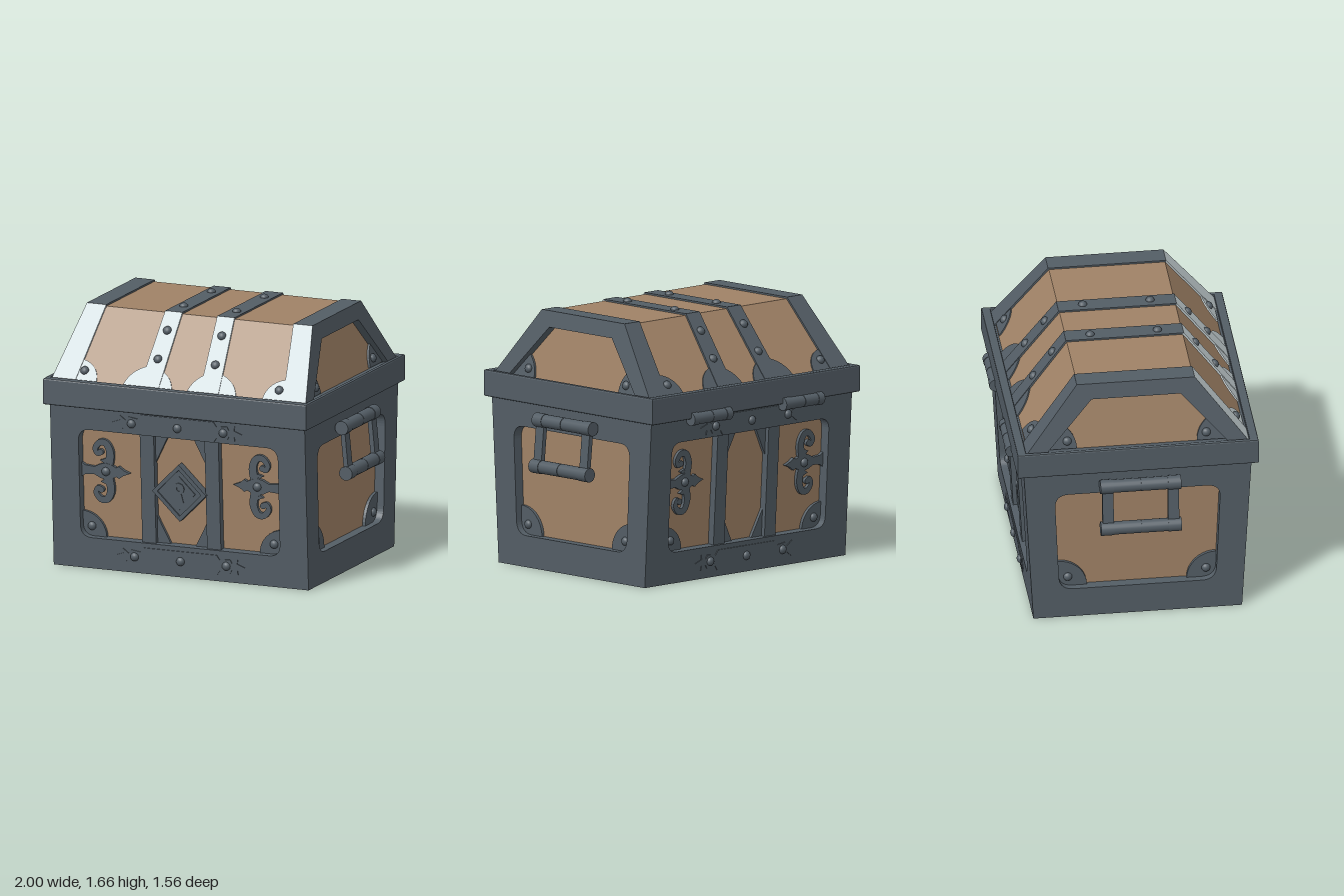
import * as THREE from 'three';

const mat = (name, color) => Object.assign(new THREE.MeshStandardMaterial({ color }), { name });
const metal = mat('dark iron', 0x535d65);
const wood = mat('wood', 0xa08266);
const pale = mat('pale steel', 0xc4d0d3);

const V = (x, y) => new THREE.Vector2(x, y);
const poly = (pts) => new THREE.Shape(pts.map(([x, y]) => V(x, y)));
const rect = (x0, x1, y0, y1) => poly([[x0, y0], [x1, y0], [x1, y1], [x0, y1]]);
const lerp = THREE.MathUtils.lerp;

function add(parent, name, geometry, material, x = 0, y = 0, z = 0) {
  const mesh = new THREE.Mesh(geometry, material);
  mesh.name = name;
  mesh.position.set(x, y, z);
  parent.add(mesh);
  return mesh;
}

// Flat plate in a face's own plane; its outer surface lies at z = top
function plate(parent, name, shape, top, depth, material = metal) {
  const g = new THREE.ExtrudeGeometry(shape, { depth, bevelEnabled: false, curveSegments: 10 });
  return add(parent, name, g.translate(0, 0, top - depth), material);
}

function rivet(parent, x, y, z) {
  const g = new THREE.SphereGeometry(0.028, 14, 10).scale(1, 1, 0.8);
  add(parent, 'rivet', g, metal, x, y, z);
}

// Polygon with rounded corners
function rounded(pts, r) {
  const s = new THREE.Shape(), n = pts.length;
  pts.forEach(([x, y], i) => {
    const c = V(x, y);
    const toward = ([a, b]) => V(a, b).sub(c).setLength(r).add(c);
    const p = toward(pts[(i + n - 1) % n]), q = toward(pts[(i + 1) % n]);
    if (i) s.lineTo(p.x, p.y); else s.moveTo(p.x, p.y);
    s.quadraticCurveTo(x, y, q.x, q.y);
  });
  s.closePath();
  return s;
}

const disc = (x, y, r) => new THREE.Shape().absarc(x, y, r, 0, Math.PI * 2, false);

// Pie-shaped corner piece opening away from side s
function corner(s, x, y, r, angle) {
  const pts = [[x, y]];
  for (let i = 0; i <= 10; i++) {
    const a = angle * i / 10;
    pts.push([x - s * r * Math.cos(a), y + r * Math.sin(a)]);
  }
  return poly(pts);
}

// Tapering flat ribbon along a curve
function ribbon(pts, w0, w1) {
  const curve = new THREE.SplineCurve(pts.map(([x, y]) => V(x, y)));
  const left = [], right = [];
  for (let i = 0; i <= 28; i++) {
    const t = i / 28, p = curve.getPoint(t), d = curve.getTangent(t), w = lerp(w0, w1, t) / 2;
    left.push(V(p.x - d.y * w, p.y + d.x * w));
    right.unshift(V(p.x + d.y * w, p.y - d.x * w));
  }
  return new THREE.Shape([...left, ...right]);
}

// Box whose top and bottom rectangles differ
function frustum(hx0, hz0, hx1, hz1, y0, y1) {
  const g = new THREE.BoxGeometry(2, 2, 2), p = g.attributes.position;
  for (let i = 0; i < p.count; i++) {
    const up = p.getY(i) > 0;
    p.setXYZ(i, p.getX(i) * (up ? hx1 : hx0), up ? y1 : y0, p.getZ(i) * (up ? hz1 : hz0));
  }
  g.computeVertexNormals();
  return g;
}

// Group lying in one face of the chest: x across, y up the face, z outward
function face(parent, name, y, dist, tilt, turn) {
  const outer = new THREE.Group(), inner = new THREE.Group();
  outer.name = name;
  outer.rotation.y = turn;
  inner.position.set(0, y, dist);
  inner.rotation.x = tilt;
  outer.add(inner);
  parent.add(outer);
  return inner;
}

// Rod along x: collars at the ends, two slimmer sleeves between
function rod(parent, name, half, collar, r, y, z) {
  const piece = (x0, x1, rad) => add(parent, name,
    new THREE.CylinderGeometry(rad, rad, x1 - x0, 20).rotateZ(Math.PI / 2), metal, (x0 + x1) / 2, y, z);
  for (const s of [-1, 1]) {
    const span = (a, b, rad) => piece(Math.min(s * a, s * b), Math.max(s * a, s * b), rad);
    span(half - collar, half, r);
    span(0.002, half - collar, r * 0.93);
  }
  piece(-0.003, 0.003, r * 0.86);
}

// Front and back of the body
function broadSide(parent, turn, withLock) {
  const f = face(parent, withLock ? 'front' : 'back', 0, 0.66, Math.atan(0.06 / 1.05), turn);
  const frame = rect(-0.875, 0.875, 0, 1.052);
  frame.holes.push(rounded([[-0.685, 0.2], [0.685, 0.2], [0.685, 0.905], [-0.685, 0.905]], 0.08));
  plate(f, 'bodyFrame', frame, 0, 0.075);

  // Long riveted plates with barbed tips
  const tip = [[0.25, 0.065], [0.27, 0.035], [0.34, 0.045], [0.355, 0.02], [0.395, 0.05], [0.39, 0.02]];
  for (const y of [0.105, 0.975]) {
    const q = [...tip, [0.445, 0], ...[...tip].reverse().map(([a, b]) => [a, -b])];
    const bar = poly([...q, ...q.map(([a, b]) => [-a, -b])].map(([a, b]) => [a, b + y]));
    plate(f, 'barbedPlate', bar, 0.006, 0.015);
    for (const x of [-0.315, 0, 0.315]) rivet(f, x, y, 0.006);
  }

  for (const s of [-1, 1]) {
    plate(f, 'uprightStrip', rect(...(s > 0 ? [0.175, 0.27] : [-0.27, -0.175]), 0.19, 0.915), -0.018, 0.055);
    plate(f, 'cornerBracket', corner(s, s * 0.69, 0.195, 0.165, Math.PI / 2), -0.045, 0.025);
    rivet(f, s * 0.625, 0.265, -0.045);
    for (const [y0, y1] of [[0.195, 0.385], [0.91, 0.715]])
      plate(f, 'innerBracket', poly([[s * 0.18, y0], [s * 0.083, y0], [s * 0.18, y1]]), -0.045, 0.025);

    // Scrolled ornament
    const c = 0.63;
    const arm = [[0.7, 0.055], [0.66, 0.03], [0.6, 0.025], [0.56, 0.045], [0.52, 0.055], [0.48, 0.045], [0.45, 0.03], [0.43, 0.04], [0.4, 0.018]];
    plate(f, 'ornamentArm', poly([...arm, [0.355, 0], ...[...arm].reverse().map(([a, b]) => [a, -b])]
      .map(([a, b]) => [s * a, c + b])), -0.042, 0.025);
    const curl = [[0.52, 0], [0.498, 0.06], [0.49, 0.125], [0.515, 0.18], [0.56, 0.185], [0.592, 0.145], [0.578, 0.11], [0.555, 0.118]];
    for (const v of [-1, 1]) {
      plate(f, 'ornamentCurl', ribbon(curl.map(([a, b]) => [s * a, c + v * b]), 0.062, 0.024), -0.044, 0.023);
      plate(f, 'curlSpur', poly([[s * 0.505, c + v * 0.09], [s * 0.56, c + v * 0.07], [s * 0.5, c + v * 0.03]]), -0.045, 0.022);
      plate(f, 'curlEnd', disc(s * 0.556, c + v * 0.122, 0.02), -0.043, 0.024);
    }
    rivet(f, s * 0.52, c, -0.042);
  }

  // Stepped diamond lock with a keyhole
  if (withLock) {
    const diamond = (r) => poly([[r, 0.55], [0, 0.55 + r], [-r, 0.55], [0, 0.55 - r]]);
    [[0.186, 0.15, 0.002], [0.151, 0.108, -0.008], [0.109, 0, -0.001]].forEach(([r, hole, top]) => {
      const d = diamond(r);
      if (hole) d.holes.push(diamond(hole));
      plate(f, 'lockPlate', d, top, top + 0.055);
    });
    const ring = disc(0, 0.58, 0.036);
    ring.holes.push(disc(0, 0.58, 0.016));
    plate(f, 'keyhole', ring, 0.006, 0.012);
    plate(f, 'keyhole', poly([[-0.014, 0.553], [0.014, 0.553], [0.03, 0.49], [-0.03, 0.49]]), 0.005, 0.01);
  }
}

// Left and right of the body with a hanging handle
function narrowSide(parent, side) {
  const f = face(parent, 'side', 0, 0.875, 0, side * Math.PI / 2);
  const frame = poly([[-0.66, 0], [0.66, 0], [0.72, 1.052], [-0.72, 1.052]]);
  frame.holes.push(rounded([[-0.495, 0.2], [0.495, 0.2], [0.525, 0.893], [-0.525, 0.893]], 0.09));
  plate(f, 'sideFrame', frame, 0, 0.075);
  const handle = new THREE.Group();
  handle.name = 'handle';
  handle.position.x = -0.01 * side;
  f.add(handle);
  for (const s of [-1, 1]) {
    plate(f, 'cornerBracket', corner(s, s * 0.5, 0.195, 0.185, Math.PI / 2), -0.045, 0.025);
    rivet(f, s * 0.437, 0.265, -0.045);
    const arm = add(handle, 'handleArm', new THREE.BoxGeometry(0.07, 0.29, 0.03), metal, s * 0.207, 0.82, 0.064);
    arm.rotation.x = -Math.atan(0.028 / 0.29);
  }
  rod(handle, 'handlePivot', 0.255, 0.083, 0.045, 0.965, 0.05);
  rod(handle, 'handleGrip', 0.255, 0.083, 0.045, 0.675, 0.079);
}

// Sloping front or back of the lid
function lidSlope(parent, turn, m) {
  const L = 0.522, low = -0.04;
  const f = face(parent, 'lidSlope', 1.22, 0.69, -Math.atan(0.317 / 0.415), turn);
  const strap = (s, a0, b0, a1, b1) => {
    const at = (p, q) => s * lerp(p, q, low / L);
    plate(f, 'lidStrap', poly([[at(a0, a1), low], [at(b0, b1), low], [s * b1, L], [s * a1, L]]), 0, 0.03, m);
  };
  for (const s of [-1, 1]) {
    strap(s, 0.71, 0.87, 0.643, 0.775);
    strap(s, 0.14, 0.27, 0.12, 0.238);
    // Flared foot of the middle strap
    const x = s * 0.22, foot = new THREE.Shape();
    foot.moveTo(x - 0.17, low);
    foot.lineTo(x - 0.165, 0);
    foot.quadraticCurveTo(x - 0.14, 0.09, x - 0.05, 0.13);
    foot.lineTo(x + 0.04, 0.13);
    foot.quadraticCurveTo(x + 0.14, 0.09, x + 0.165, 0);
    foot.lineTo(x + 0.17, low);
    plate(f, 'strapFoot', foot, -0.004, 0.025, m);
    plate(f, 'lidCorner', corner(s, s * 0.72, low + 0.03, 0.15, Math.PI / 2), -0.004, 0.025, m);
    rivet(f, s * 0.668, 0.063, -0.004);
    rivet(f, s * 0.197, 0.189, 0);
    rivet(f, s * 0.187, 0.39, 0);
  }
}

// Framed end of the lid
function lidEnd(parent, turn) {
  const f = face(parent, 'lidEnd', 1.22, 0.87, -Math.atan(0.095 / 0.415), turn);
  const frame = poly([[-0.72, -0.04], [0.72, -0.04], [0.373, 0.426], [-0.373, 0.426]]);
  frame.holes.push(poly([[-0.57, -0.01], [0.57, -0.01], [0.2825, 0.323], [-0.2825, 0.323]]));
  plate(f, 'lidEndFrame', frame, 0, 0.06);
  for (const s of [-1, 1]) {
    plate(f, 'lidEndCorner', corner(s, s * 0.565, -0.005, 0.185, 0.9), -0.035, 0.025);
    rivet(f, s * 0.44, 0.046, -0.035);
  }
}

export function createModel() {
  const model = new THREE.Group();
  model.name = 'chest';
  const chest = new THREE.Group();
  chest.name = 'chestBody';
  chest.position.z = 0.0175;
  model.add(chest);

  // Body
  add(chest, 'bodyPanels', frustum(0.81, 0.596, 0.81, 0.656, 0.02, 1.06), wood);
  add(chest, 'bottom', frustum(0.874, 0.659, 0.874, 0.66, 0.001, 0.03), metal);
  broadSide(chest, 0, true);
  broadSide(chest, Math.PI, false);

  // Rim with a shallow lip around the lid
  const rim = rect(-0.895, 0.895, -0.7525, 0.7525);
  rim.holes.push(rect(-0.886, 0.886, -0.716, 0.716));
  const rimGeo = new THREE.ExtrudeGeometry(rim, { depth: 0.15, bevelSize: 0.01, bevelThickness: 0.01, bevelSegments: 2 });
  add(chest, 'rim', rimGeo.rotateX(-Math.PI / 2), metal, 0, 1.06, 0);
  add(chest, 'rimFloor', new THREE.BoxGeometry(1.775, 0.142, 1.44), metal, 0, 1.126, 0);

  // Lid
  add(chest, 'lidPanels', frustum(0.828, 0.705, 0.727, 0.367, 1.18, 1.624), wood);
  lidSlope(chest, 0, pale);
  lidSlope(chest, Math.PI, metal);
  const top = face(chest, 'lidTop', 1.635, 0, -Math.PI / 2, 0);
  for (const s of [-1, 1]) {
    for (const [a, b] of [[0.643, 0.775], [0.12, 0.238]])
      plate(top, 'lidStrap', rect(Math.min(s * a, s * b), Math.max(s * a, s * b), -0.373, 0.373), 0, 0.03);
    for (const z of [-0.213, 0.213]) rivet(top, s * 0.182, z, 0);
    narrowSide(chest, s);
    lidEnd(chest, s * Math.PI / 2);

    // Hinges
    const hinge = new THREE.Group();
    hinge.name = 'hinge';
    hinge.position.x = s * 0.4;
    chest.add(hinge);
    rod(hinge, 'hingeBarrel', 0.168, 0.05, 0.042, 1.05, -0.755);
  }
  return model;
}
